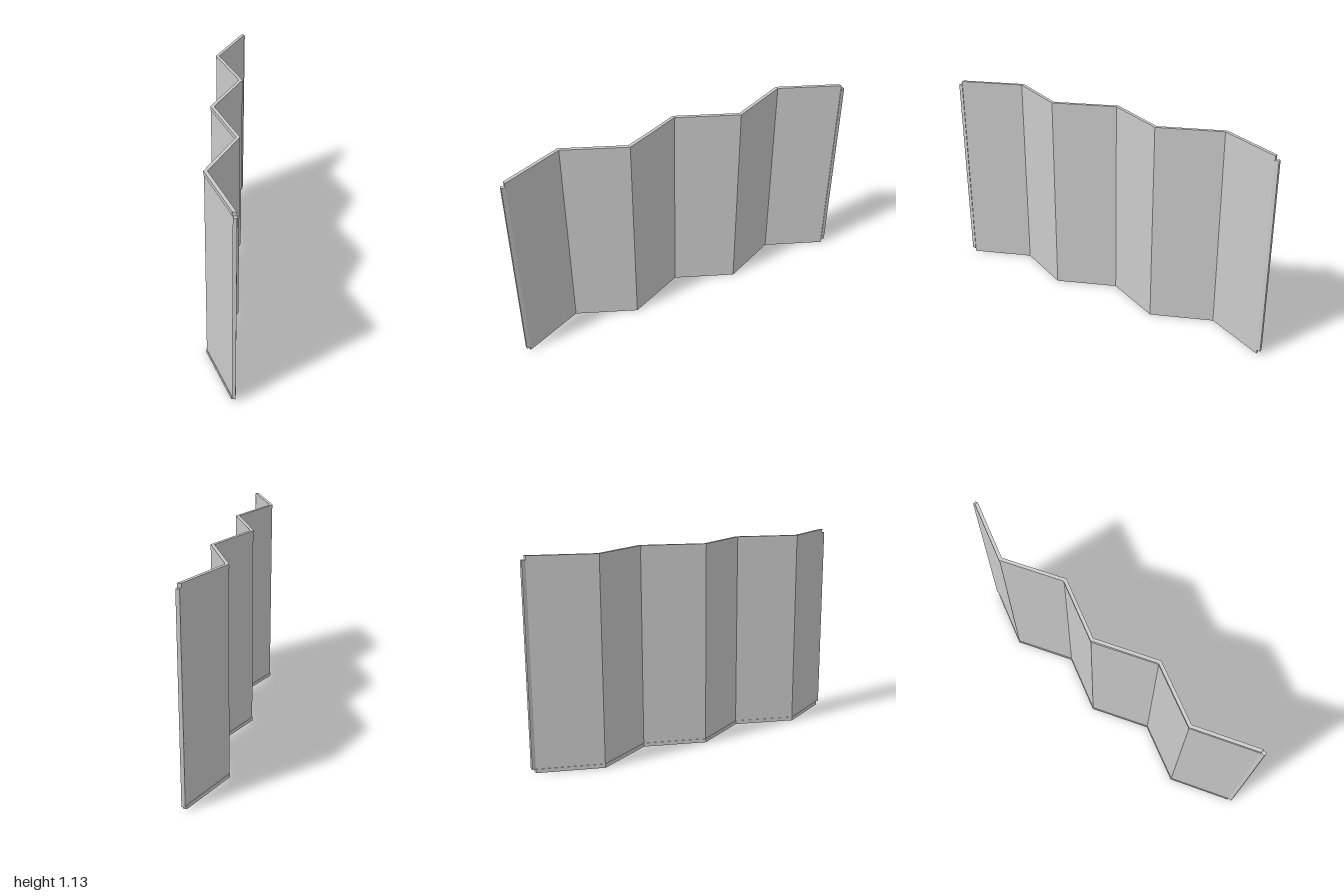
import * as THREE from 'three';

const HEIGHT = 1.135, RAIL = 0.021, PEAK = 0.08, VALLEY = -0.063, THICK = 0.02;
const FOLDS = [-0.98, -0.65, -0.325, 0, 0.325, 0.65, 0.98];

export function createModel() {
  const group = new THREE.Group();
  const material = new THREE.MeshStandardMaterial({ color: 0xcccccc, flatShading: true });

  // Zigzag layer lying between two depths behind the +x face
  function layer(name, near, far, y0, y1) {
    const edge = d => FOLDS.map((z, i) => new THREE.Vector2((i % 2 ? VALLEY : PEAK) - d, -z));
    const shape = new THREE.Shape([...edge(near), ...edge(far).reverse()]);
    const geometry = new THREE.ExtrudeGeometry(shape, { depth: y1 - y0, bevelEnabled: false });
    geometry.rotateX(-Math.PI / 2);
    geometry.translate(0, y0, 0);
    const mesh = new THREE.Mesh(geometry, material);
    mesh.name = name;
    group.add(mesh);
  }

  // Full-height folded sheet, slightly recessed infill, and edge rails
  layer('foldedSheet', 0, 0.004, 0, HEIGHT);
  layer('infillPanels', 0.004, THICK - 0.003, RAIL, HEIGHT - RAIL);
  layer('bottomRail', 0.004, THICK, 0, RAIL);
  layer('topRail', 0.004, THICK, HEIGHT - RAIL, HEIGHT);

  // Narrow tongues at both ends, shorter than the sheet
  for (const side of [1, -1]) {
    const tongue = new THREE.Mesh(new THREE.BoxGeometry(0.019, HEIGHT - 2 * RAIL, 0.022), material);
    tongue.name = side > 0 ? 'frontTongue' : 'backTongue';
    tongue.position.set(0.0725, HEIGHT / 2, side * 0.989);
    group.add(tongue);
  }
  return group;
}
